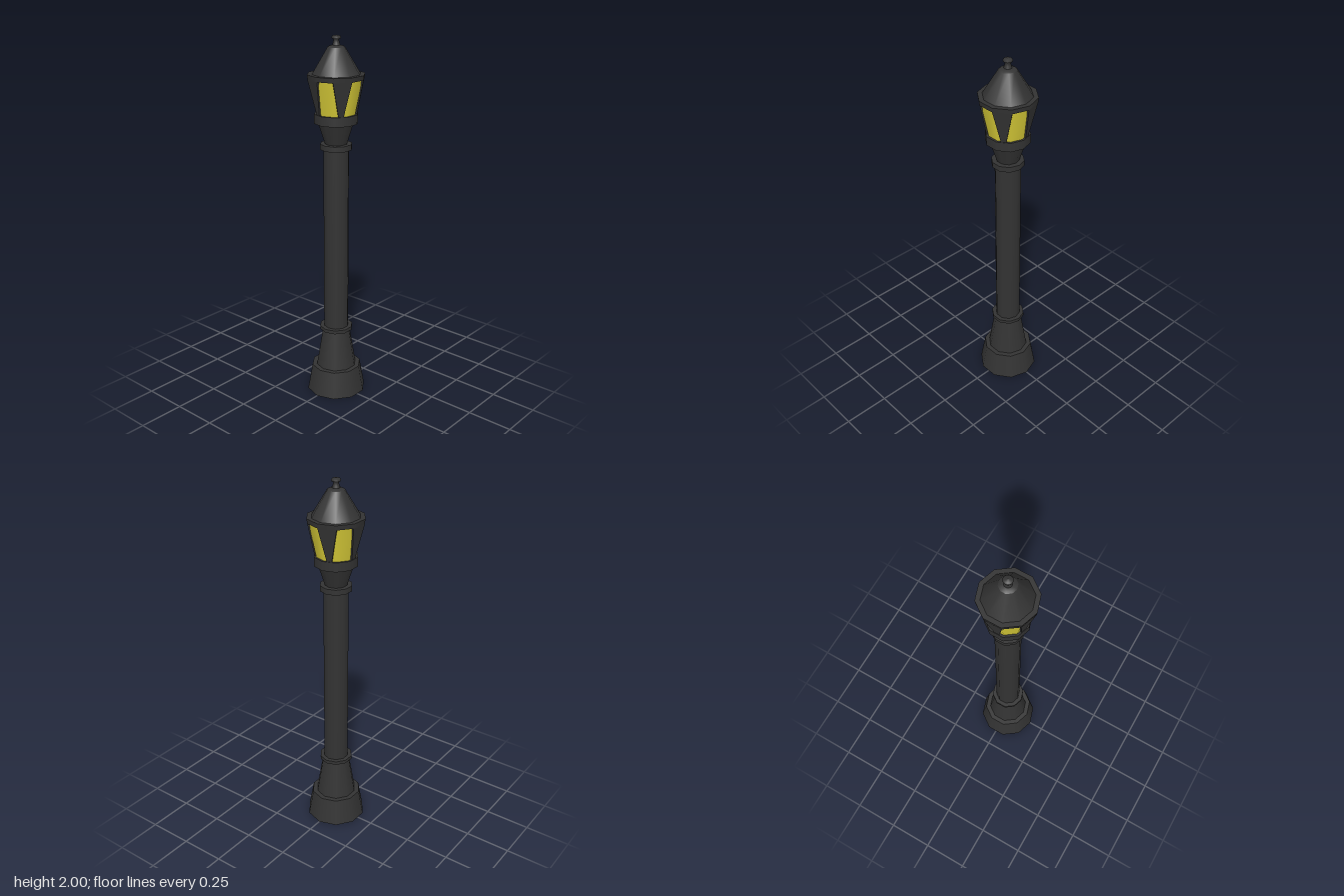
import * as THREE from 'three';

const SIDES = 10;
const iron = new THREE.MeshStandardMaterial({ color: 0x333333 });
const glass = new THREE.MeshStandardMaterial({ color: 0xd8cc38 });

export function createModel() {
  const lamp = new THREE.Group();
  lamp.name = 'streetLamp';

  function add(name, geometry, material = iron) {
    const mesh = new THREE.Mesh(geometry, material);
    mesh.name = name;
    lamp.add(mesh);
    return mesh;
  }

  // Ten-sided tapered section standing between two heights
  function section(name, y0, y1, r0, r1, material = iron) {
    const geometry = new THREE.CylinderGeometry(r1, r0, y1 - y0, SIDES);
    geometry.translate(0, (y0 + y1) / 2, 0);
    return add(name, geometry, material);
  }

  // Post, from the ground up
  section('plinth', 0, 0.15, 0.165, 0.138);
  section('pedestal', 0.15, 0.37, 0.112, 0.076);
  section('lowerCollar', 0.37, 0.39, 0.092, 0.092);
  section('column', 0.39, 1.41, 0.069, 0.069);
  section('upperCollar', 1.41, 1.44, 0.086, 0.086);
  section('lanternNeck', 1.44, 1.55, 0.06, 0.095);
  section('lanternSeat', 1.55, 1.6, 0.117, 0.117);

  // Lantern
  section('lanternGlass', 1.6, 1.78, 0.105, 0.142, glass);
  section('lanternRim', 1.78, 1.805, 0.15, 0.153);

  // Five frame plates on alternate faces, each narrowing downwards
  const plate = framePlate();
  for (let i = 0; i < 5; i++) {
    add('framePlate' + (i + 1), plate).rotation.y = THREE.MathUtils.degToRad(54 + i * 72);
  }

  // Roof with a softened shoulder
  const profile = (points) => points.map(([r, y]) => new THREE.Vector2(r, y));
  section('roof', 1.805, 1.94, 0.128, 0.046);
  add('roofCap', new THREE.LatheGeometry(
    profile([[0.046, 1.94], [0.036, 1.946], [0.02, 1.95], [0, 1.951]]), SIDES));

  // Finial
  add('finial', new THREE.LatheGeometry(profile([
    [0.022, 1.945], [0.017, 1.962], [0.013, 1.978], [0.023, 1.983],
    [0.025, 1.989], [0.02, 1.996], [0, 2],
  ]), 16));

  return lamp;
}

// Tapered slab facing +z: wide at the rim, narrow at the seat
function framePlate() {
  const levels = [
    { y: 1.6, half: 0.0135, z: 0.109 },
    { y: 1.78, half: 0.049, z: 0.142 },
  ];
  const geometry = new THREE.BoxGeometry(1, 1, 1);
  const p = geometry.attributes.position;
  for (let i = 0; i < p.count; i++) {
    const level = levels[p.getY(i) > 0 ? 1 : 0];
    const depth = p.getZ(i) > 0 ? 0 : 0.02;
    p.setXYZ(i, Math.sign(p.getX(i)) * level.half, level.y, level.z - depth);
  }
  geometry.computeVertexNormals();
  return geometry;
}
